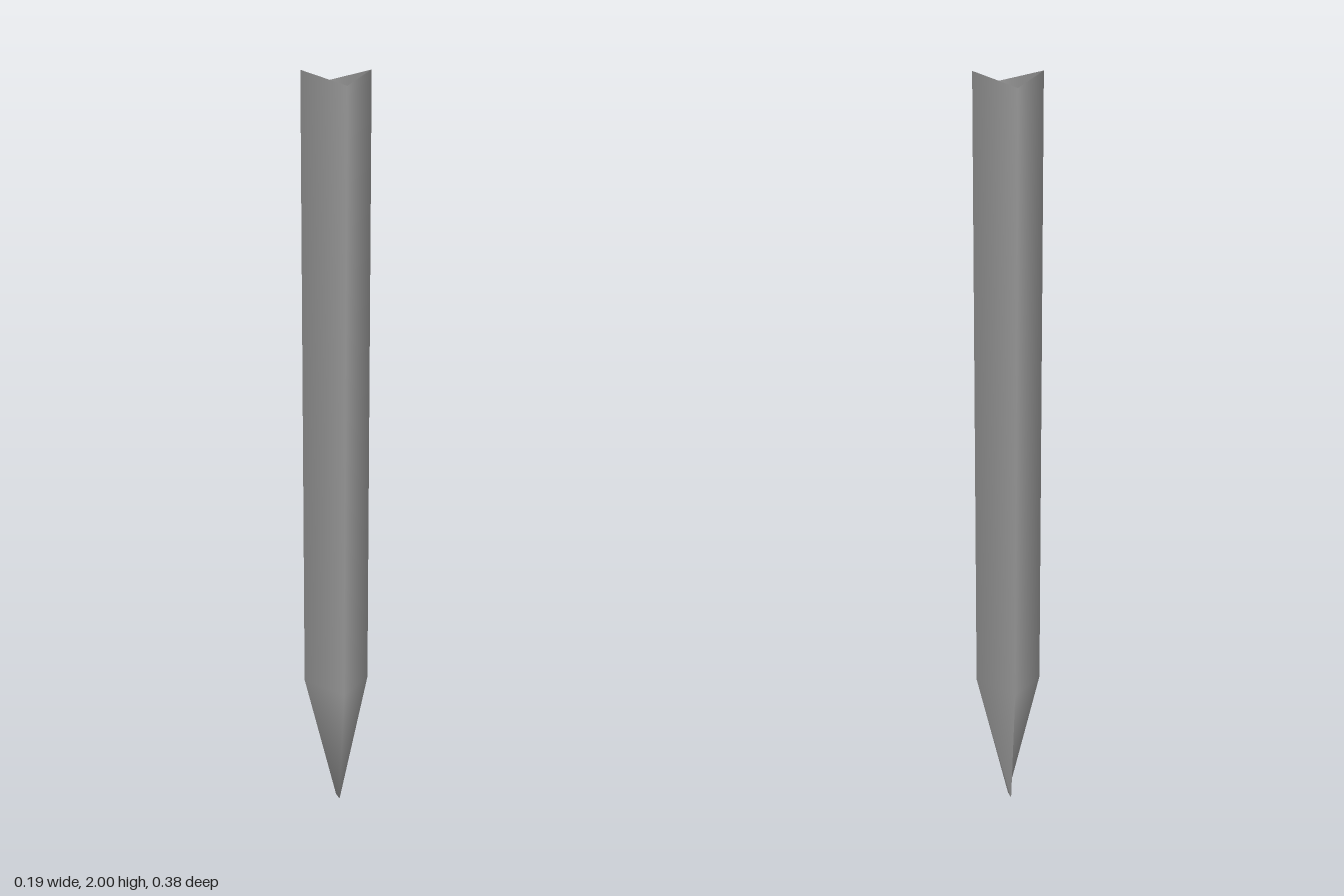
import * as THREE from 'three';
import { mergeVertices } from 'three/addons/utils/BufferGeometryUtils.js';

export function createModel() {
  const group = new THREE.Group();
  group.name = 'stake';

  // Diamond cross-sections, bottom to top: half width x, half depth z,
  // height of the side corners, height of the front and back corners
  const sections = [
    [0, 0.065, 0, 0.012],
    [0.088, 0.147, 0.34, 0.34],
    [0.094, 0.19, 2, 1.965],
  ];

  const positions = [];
  for (const [x, z, ySide, yFront] of sections) {
    positions.push(x, ySide, 0, 0, yFront, z, -x, ySide, 0, 0, yFront, -z);
  }

  // Join neighbouring sections with four walls; the top stays open.
  // Each wall is folded along one diagonal, the same way front and back.
  const foldFromFirst = [
    [false, false, true, true], // point
    [true, false, true, false], // long shaft
  ];
  const index = [];
  foldFromFirst.forEach((folds, s) => {
    folds.forEach((first, i) => {
      const a = s * 4 + i;
      const b = s * 4 + ((i + 1) % 4);
      if (first) index.push(a, a + 4, b + 4, a, b + 4, b);
      else index.push(a, a + 4, b, b, a + 4, b + 4);
    });
  });

  let geometry = new THREE.BufferGeometry();
  geometry.setAttribute('position', new THREE.Float32BufferAttribute(positions, 3));
  geometry.setIndex(index);
  geometry = mergeVertices(geometry); // the side corners meet in the tip
  geometry.computeVertexNormals();

  const shaft = new THREE.Mesh(
    geometry,
    new THREE.MeshStandardMaterial({ color: 0x999999, side: THREE.DoubleSide })
  );
  shaft.name = 'taperedShaft';
  group.add(shaft);
  return group;
}
